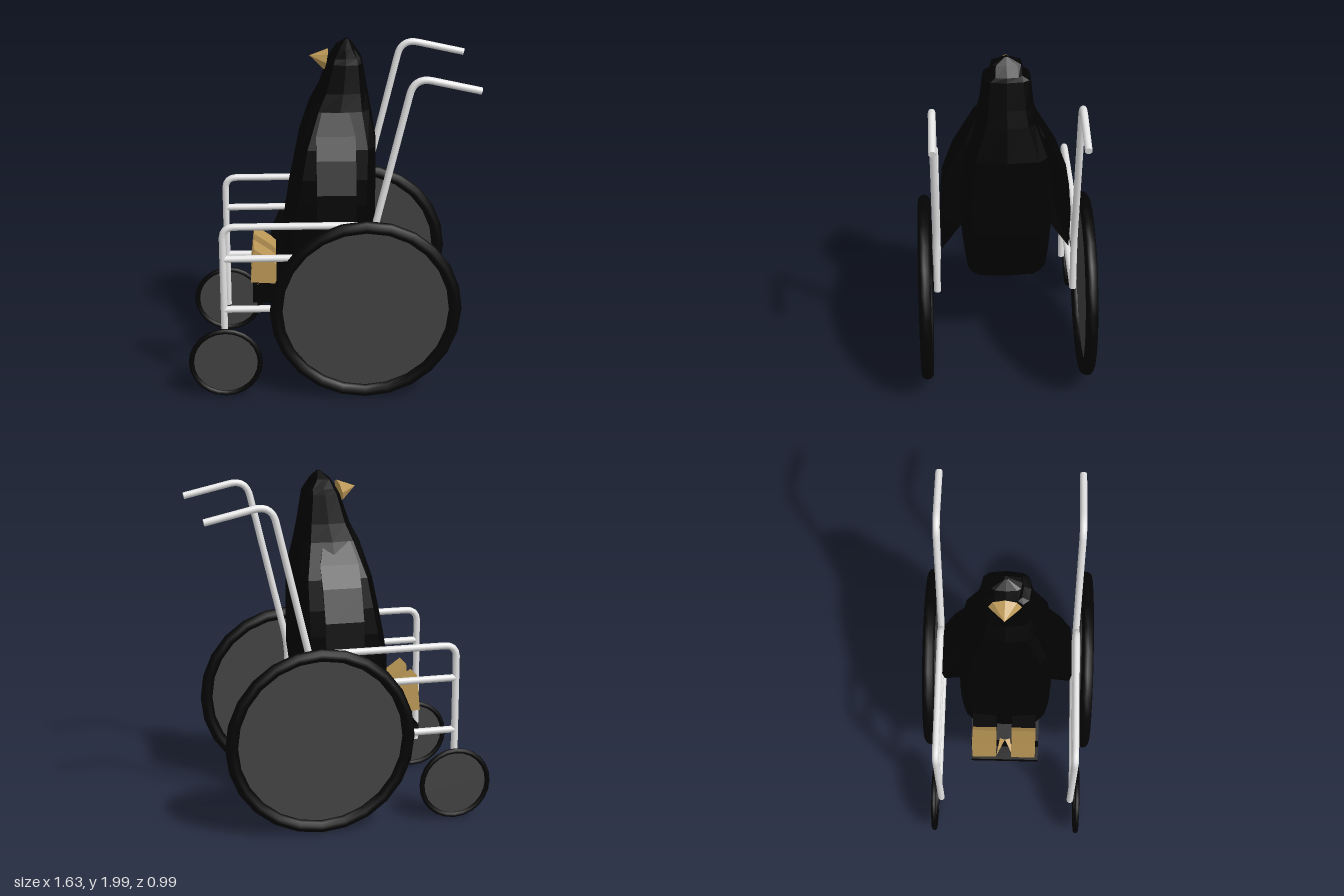
import * as THREE from 'three';

const mat = (name, color, extra = {}) => {
  const m = new THREE.MeshStandardMaterial({ color, ...extra });
  m.name = name;
  return m;
};

export function createModel() {
  const root = new THREE.Group();
  const black = mat('featherBlack', 0x020202, { flatShading: true });
  const rubber = mat('rubberBlack', 0x040404);
  const grey = mat('discGrey', 0x424242, { side: THREE.DoubleSide });
  const metal = mat('tubeMetal', 0xe4e4e4);
  const horn = mat('beakTan', 0xbc9856, { flatShading: true, side: THREE.DoubleSide });

  const add = (parent, name, geo, material, x = 0, y = 0, z = 0) => {
    const m = new THREE.Mesh(geo, material);
    m.name = name;
    m.position.set(x, y, z);
    parent.add(m);
    return m;
  };

  // Flat outline in (x, y) extruded from z0 to z1
  const slab = (parent, name, pts, z0, z1, material) => {
    const shape = new THREE.Shape(pts.map(([x, y]) => new THREE.Vector2(x, y)));
    const g = new THREE.ExtrudeGeometry(shape, { depth: z1 - z0, bevelEnabled: false });
    add(parent, name, g, material, 0, 0, z0);
  };

  // Closed faceted body through oval rings [y, xFront, xBack, halfZ], boxier below the shoulders
  const loft = (rings, n) => {
    const pt = ([y, x0, x1, h], j) => {
      const a = (j / n) * Math.PI * 2;
      const e = y > 1.5 ? 0.55 : Math.cos(a) < 0 ? 0.34 : 0.44;
      const power = (v) => Math.sign(v) * Math.pow(Math.abs(v), e);
      return [(x0 + x1) / 2 + power(Math.cos(a)) * (x1 - x0) / 2, y, power(Math.sin(a)) * h - 0.01];
    };
    const mid = ([y, x0, x1]) => [(x0 + x1) / 2, y, -0.01];
    const pos = [];
    const tri = (...p) => p.forEach((q) => pos.push(...q));
    const low = rings[0], top = rings[rings.length - 1];
    for (let j = 0; j < n; j++) {
      for (let i = 0; i < rings.length - 1; i++) {
        const a = pt(rings[i], j), b = pt(rings[i], j + 1);
        const c = pt(rings[i + 1], j), d = pt(rings[i + 1], j + 1);
        tri(a, c, b);
        tri(b, c, d);
      }
      tri(mid(low), pt(low, j), pt(low, j + 1));
      tri(mid(top), pt(top, j + 1), pt(top, j));
    }
    const g = new THREE.BufferGeometry();
    g.setAttribute('position', new THREE.Float32BufferAttribute(pos, 3));
    g.computeVertexNormals();
    return g;
  };

  // Bird
  const bird = new THREE.Group();
  bird.name = 'penguin';
  root.add(bird);
  add(bird, 'body', loft([
    [0.58, -0.25, 0.14, 0.215], [0.66, -0.26, 0.21, 0.24], [0.8, -0.265, 0.25, 0.255],
    [0.95, -0.262, 0.27, 0.265], [1.1, -0.238, 0.27, 0.27], [1.25, -0.208, 0.27, 0.265],
    [1.42, -0.175, 0.268, 0.24],
    [1.62, -0.12, 0.235, 0.17], [1.72, -0.065, 0.215, 0.15], [1.88, -0.008, 0.188, 0.133],
    [1.905, 0.003, 0.18, 0.092], [1.96, 0.04, 0.14, 0.085], [2.0, 0.09, 0.11, 0.01],
  ], 12), black);

  // Flippers: outline in (z, y), extruded along x, narrowing at the tip
  const outline = [[0.1, 1.6], [0.165, 1.62], [0.225, 1.5], [0.295, 1.38], [0.36, 1.2], [0.375, 1.0],
    [0.372, 0.74], [0.26, 0.94], [0.1, 1.0]];
  for (const s of [1, -1]) {
    const shape = new THREE.Shape(outline.map(([z, y]) => new THREE.Vector2(-s * z, y)));
    const g = new THREE.ExtrudeGeometry(shape, { depth: 0.22, bevelEnabled: false });
    g.translate(0, 0, -0.11).rotateY(Math.PI / 2).rotateY(Math.PI);
    const p = g.attributes.position;
    for (let i = 0; i < p.count; i++) {
      const y = p.getY(i);
      const k = y < 0.8 ? 0.45 : y > 1.5 ? 0.7 : 1;
      p.setX(i, p.getX(i) * k + 0.03);
    }
    g.computeVertexNormals();
    add(bird, s > 0 ? 'leftFlipper' : 'rightFlipper', g, black, 0, 0, -0.005);
  }

  // Beak pointing to -x, its base leaning with the face
  const beak = new THREE.ConeGeometry(0.09, 0.12, 8);
  beak.rotateZ(Math.PI / 2).scale(1, 0.66, 1);
  const bp = beak.attributes.position;
  for (let i = 0; i < bp.count; i++) {
    if (bp.getX(i) < -0.05) bp.setY(i, 0.022);
    else bp.setX(i, bp.getX(i) + bp.getY(i) * 0.22 - 0.027);
  }
  beak.computeVertexNormals();
  add(bird, 'beak', beak, horn, -0.05, 1.883, -0.015);

  // Thighs and feet stretched forward
  for (const z of [0.03, -0.2]) {
    slab(bird, 'thigh', [[-0.31, 0.585], [-0.1, 0.585], [-0.1, 0.8], [-0.25, 0.8], [-0.31, 0.71]], z, z + 0.14, black);
    slab(bird, 'foot', [[-0.46, 0.6], [-0.31, 0.59], [-0.31, 0.71], [-0.34, 0.74], [-0.44, 0.81]], z, z + 0.14, horn);
  }

  // Tail tucked below the feet
  slab(bird, 'tail', [[-0.45, 0.48], [-0.33, 0.48], [-0.15, 0.6], [-0.35, 0.58], [-0.37, 0.52], [-0.45, 0.515]],
    -0.21, 0.19, black);

  // Thin tan slivers under and over the tail
  for (const s of [1, -1]) {
    const sliver = (name, pts) => {
      const g = new THREE.BufferGeometry();
      g.setAttribute('position', new THREE.Float32BufferAttribute(pts, 3));
      g.computeVertexNormals();
      add(bird, name, g, horn);
    };
    sliver('rumpSliver', [-0.175, 0.579, s * 0.145, -0.175, 0.579, s * 0.03, -0.32, 0.482, 0]);
    sliver('tailSliver', [-0.43, 0.52, s * 0.05 - 0.01, -0.34, 0.59, s * 0.03 - 0.01, -0.35, 0.59, -0.01]);
  }

  // Wheelchair
  const chair = new THREE.Group();
  chair.name = 'wheelchair';
  root.add(chair);

  // Round tube along points with softened corners
  const tube = (parent, name, pts, bend = 0.08, r = 0.02) => {
    const v = pts.map(([x, y]) => new THREE.Vector3(x, y, 0));
    const path = new THREE.CurvePath();
    let from = v[0];
    for (let i = 1; i < v.length - 1; i++) {
      const a = v[i].clone().add(v[i - 1].clone().sub(v[i]).setLength(bend));
      const b = v[i].clone().add(v[i + 1].clone().sub(v[i]).setLength(bend));
      path.add(new THREE.LineCurve3(from, a));
      path.add(new THREE.QuadraticBezierCurve3(a, v[i], b));
      from = b;
    }
    path.add(new THREE.LineCurve3(from, v[v.length - 1]));
    add(parent, name, new THREE.TubeGeometry(path, pts.length > 2 ? 70 : 2, r, 10), metal);
    // End caps
    for (const t of [0, 1]) {
      const dir = path.getTangentAt(t).multiplyScalar(t ? 1 : -1);
      const cap = add(parent, name + 'Cap', new THREE.CircleGeometry(r, 10), metal);
      cap.position.copy(t ? v[v.length - 1] : v[0]);
      cap.quaternion.setFromUnitVectors(new THREE.Vector3(0, 0, 1), dir);
    }
  };

  const wheel = (parent, name, x, y, z, radius, r) => {
    const g = new THREE.Group();
    g.name = name;
    g.position.set(x, y, z);
    parent.add(g);
    add(g, 'tyre', new THREE.TorusGeometry(radius - r, r, 10, 24), rubber);
    add(g, 'disc', new THREE.CircleGeometry(radius - r, 24), grey);
  };

  for (const s of [1, -1]) {
    const side = new THREE.Group();
    side.name = s > 0 ? 'leftFrame' : 'rightFrame';
    side.position.z = s * 0.397;
    chair.add(side);
    tube(side, 'armrest', [[-0.61, 0.2], [-0.61, 1.04], [0.19, 1.04], [0.21, 0.93]], 0.07);
    tube(side, 'pushHandle', [[0.205, 0.53], [0.205, 0.88], [0.443, 1.892], [0.81, 1.81]], 0.1);
    tube(side, 'middleBar', [[-0.61, 0.848], [0.205, 0.848]]);
    tube(side, 'lowerBar', [[-0.61, 0.538], [0.205, 0.538]]);
    wheel(chair, 'rearWheel', 0.19, 0.548, s * 0.463, 0.542, 0.036);
    wheel(chair, 'frontWheel', -0.607, 0.22, s * 0.433, 0.212, 0.015);
  }
  return root;
}
